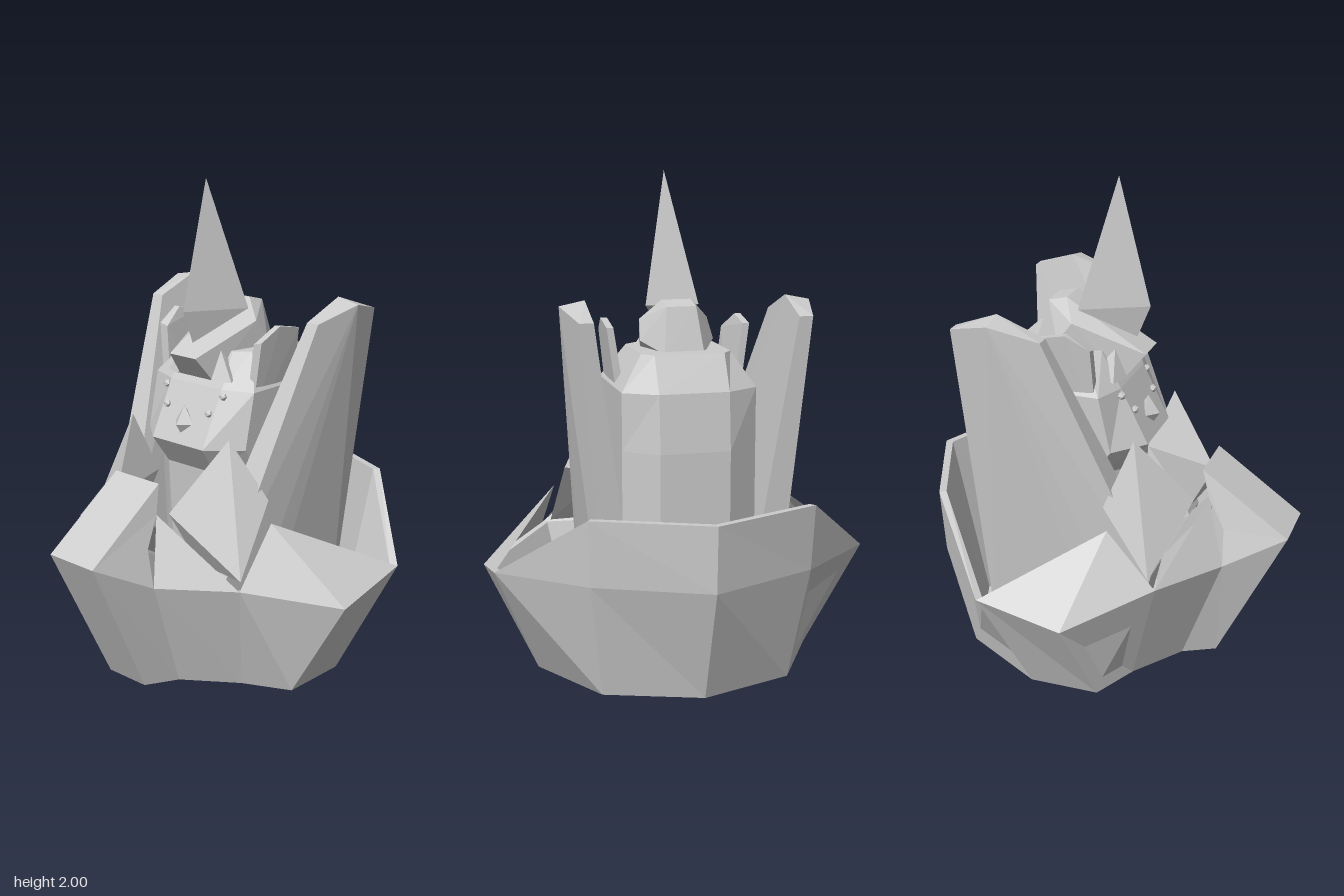
import * as THREE from 'three';
import { ConvexGeometry } from 'three/addons/geometries/ConvexGeometry.js';

const mat = new THREE.MeshStandardMaterial({ color: 0xcccccc, flatShading: true });
const thinMat = new THREE.MeshStandardMaterial({ color: 0xcccccc, flatShading: true, side: THREE.DoubleSide });

const mirror = ([x, y, z]) => [-x, y, z];

// Flat polygons, each a convex fan of corner points
function facets(polys) {
  const pos = [];
  for (const p of polys)
    for (let i = 1; i < p.length - 1; i++) pos.push(...p[0], ...p[i], ...p[i + 1]);
  const g = new THREE.BufferGeometry();
  g.setAttribute('position', new THREE.Float32BufferAttribute(pos, 3));
  g.computeVertexNormals();
  return g;
}

const hull = (pts) => new ConvexGeometry(pts.map((p) => new THREE.Vector3(...p)));

export function createModel() {
  const group = new THREE.Group();
  const add = (name, geometry, material = mat) => {
    const m = new THREE.Mesh(geometry, material);
    m.name = name;
    group.add(m);
    return m;
  };
  // A faceted solid on each side
  const pair = (name, pts) => {
    add('left' + name, hull(pts));
    add('right' + name, hull(pts.map(mirror)));
  };
  // Centred solid from points of one half
  const symmetric = (name, pts) => add(name, hull([...pts, ...pts.map(mirror)]));

  // Bowl: stations run from the back to the prow
  const bottom = [[0, 0, -0.63], [0.38, 0, -0.5], [0.575, 0, -0.155], [0.57, 0, 0.13],
    [0.38, 0, 0.22], [0.17, 0, 0.37], [0.1, 0, 0.5]];
  const mid = [[0, 0.47, -0.78], [0.44, 0.47, -0.585], [0.765, 0.465, -0.3], [0.765, 0.39, 0.05],
    [0.47, 0.47, 0.34], [0.2, 0.47, 0.54], [0.12, 0.6, 0.787]];
  const rim = mid.map((p) => p.slice());
  rim[0] = [0, 0.735, -0.79];
  rim[1] = [0.45, 0.735, -0.6];
  const inset = (p) => [p[0] * 0.96, p[1], p[2] * 0.96];
  const rimIn = rim.map(inset);
  const floor = bottom.map((p) => [p[0] * 0.97, 0.02, p[2] * 0.97]);

  const wall = [];
  for (let i = 0; i < 6; i++) {
    const j = i + 1;
    wall.push([bottom[i], mid[i], mid[j], bottom[j]]);
    if (i < 2) wall.push([mid[i], rim[i], rim[j], mid[j]]);
    if (i < 4) {
      wall.push([rim[i], rimIn[i], rimIn[j], rim[j]]);
      wall.push([rimIn[i], floor[i], floor[j], rimIn[j]]);
    }
  }
  // Raised side flaps, front panels and the cheeks of the prow
  const flap = [0.45, 0.69, 0.13];
  const shoulder = [0.14, 0.74, 0.46];
  const lip = [0.12, 0.855, 0.425];
  const throat = [0.12, 0.7, 0.47];
  const chest = [0.2, 0.48, 0.29];
  wall.push([mid[4], mid[3], flap], [mid[3], mid[2], flap]);
  wall.push([mid[5], mid[4], shoulder], [mid[4], chest, throat]);
  wall.push([mid[6], mid[5], [0.16, 0.62, 0.53]], [mid[6], [0.16, 0.62, 0.53], shoulder, lip]);
  wall.push([lip, throat, shoulder]);
  wall.push([chest, mid[4], floor[4], [0.2, 0.02, 0.25]]);
  const both = [...wall, ...wall.map((p) => p.map(mirror).reverse())];
  // Pieces that span the centre line
  const span = (a, b) => both.push([a, b, mirror(b), mirror(a)]);
  span(bottom[6], mid[6]);
  span(mid[6], lip);
  span(lip, throat);
  span(throat, chest);
  add('bowl', facets(both), thinMat);
  add('bowlBase', facets([[...bottom, ...bottom.slice(1).reverse().map(mirror)],
    [...floor, ...floor.slice(1).reverse().map(mirror)]]), thinMat);

  // Tall leaning side slabs
  pair('Slab', [
    [0.4, 1.45, -0.135], [0.455, 1.45, -0.135], [0.4, 1.525, -0.335],
    [0.5, 1.505, -0.335], [0.4, 1.46, -0.51], [0.455, 1.46, -0.51],
    [0.2, 0.45, 0.28], [0.34, 0.45, 0.28], [0.38, 0.45, -0.04],
    [0.2, 0.1, -0.42], [0.34, 0.1, -0.42], [0.2, 0.1, 0.2], [0.33, 0.1, 0.2],
  ]);

  // Pointed knees in front of the slabs
  pair('Knee', [
    [0.27, 1.01, 0.18], [0.15, 0.73, 0.4], [0.41, 0.77, 0.1],
    [0.44, 0.49, 0.3], [0.19, 0.5, 0.28], [0.22, 0.75, 0.08],
  ]);

  // Body and head: [y, front x, front z, side x, side front z, side back z, back z]
  const rings = [
    [0.03, 0.13, 0.06, 0.27, -0.02, -0.385, -0.48],
    [0.82, 0.13, 0.11, 0.27, 0.0, -0.385, -0.48],
    [0.94, 0.14, 0.195, 0.27, 0.08, -0.385, -0.48],
    [1.17, 0.14, 0.08, 0.27, 0.03, -0.385, -0.46],
    [1.31, 0.12, -0.01, 0.18, -0.06, -0.33, -0.385],
  ].map(([y, fx, fz, sx, sf, sb, bz]) => {
    const half = [[fx, y, fz], [sx, y, sf], [sx, y, sb], [0.14, y, bz]];
    return [...half, ...half.slice().reverse().map(mirror)];
  });
  const skin = [rings[0].slice().reverse(), rings[4]];
  for (let r = 0; r < 4; r++)
    for (let i = 0; i < 8; i++) {
      const j = (i + 1) % 8;
      skin.push([rings[r][i], rings[r][j], rings[r + 1][j], rings[r + 1][i]]);
    }
  add('head', facets(skin));

  // Face
  for (const s of [-1, 1])
    for (const [x, y, z] of [[0.155, 1.145, 0.088], [0.115, 1.075, 0.13]]) {
      add('eye', new THREE.IcosahedronGeometry(0.018, 0)).position.set(s * x, y, z);
    }
  const nose = add('nose', new THREE.OctahedronGeometry(1));
  nose.scale.set(0.05, 0.075, 0.05);
  nose.position.set(0, 1.02, 0.15);

  // Thin ears
  pair('Ear', [
    [0.24, 1.36, 0.0], [0.28, 1.37, 0.0], [0.265, 1.425, -0.1], [0.292, 1.425, -0.1],
    [0.265, 1.4, -0.22], [0.292, 1.4, -0.22],
    [0.2, 0.98, 0.015], [0.235, 0.98, 0.015], [0.2, 0.98, -0.23], [0.235, 0.98, -0.23],
  ]);

  // Hair tufts beside the cap
  pair('Tuft', [[0.1, 1.32, 0.04], [0.09, 1.2, 0.09], [0.175, 1.2, 0.06], [0.13, 1.22, -0.04]]);

  // Cap with its bill
  symmetric('cap', [
    [0.09, 1.2, 0.08], [0.07, 1.3, 0.16], [0.14, 1.42, -0.13], [0.15, 1.34, -0.19],
    [0.06, 1.5, -0.18], [0.06, 1.48, -0.26], [0.08, 1.3, -0.31],
  ]);

  // Three-sided horn
  add('horn', hull([
    [0, 2, 0.02], [0, 1.48, 0.155], [0.11, 1.47, -0.115], [-0.11, 1.47, -0.115], [0, 1.345, 0.1],
  ]));

  return group;
}
